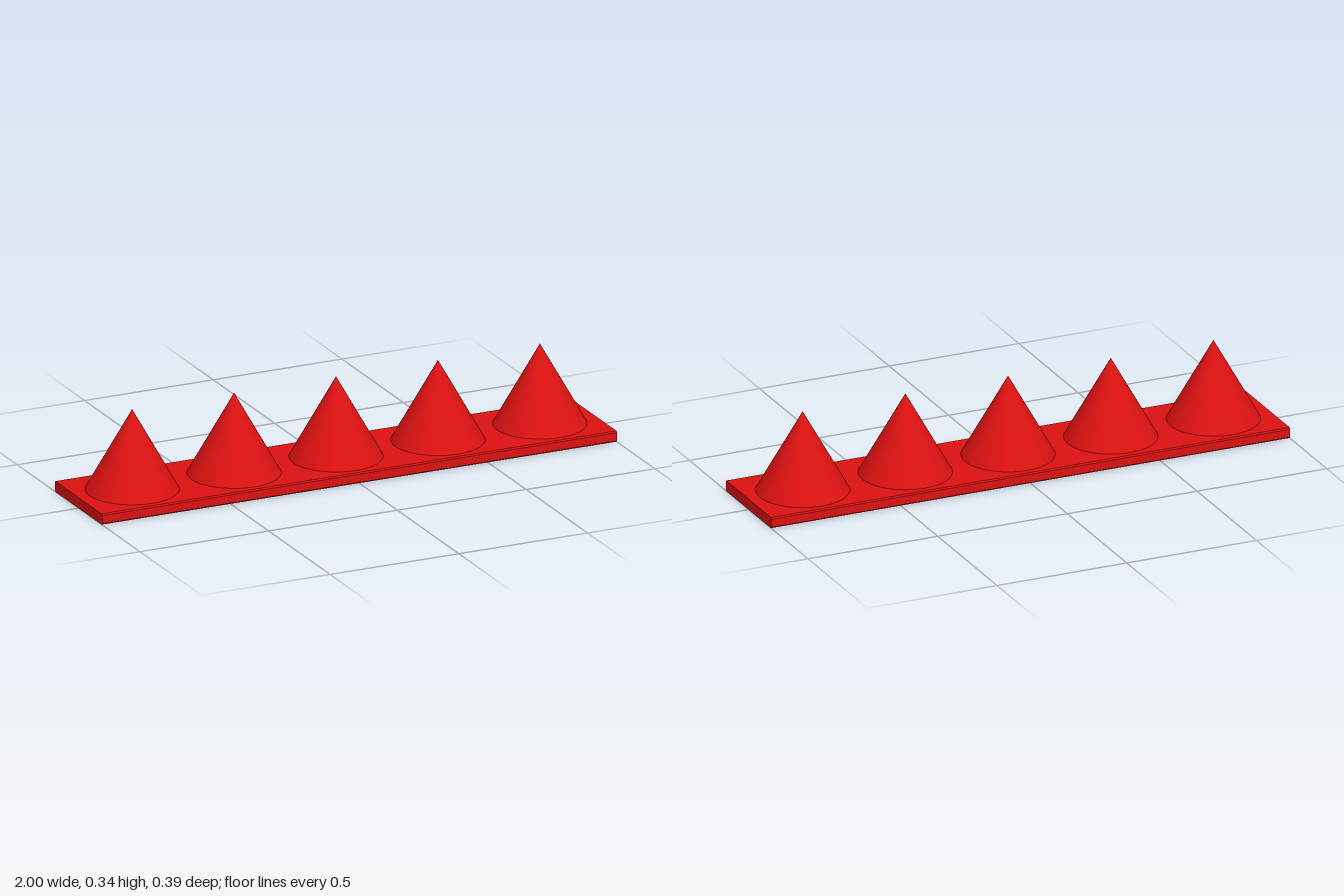
import * as THREE from 'three';

export function createModel() {
  const model = new THREE.Group();
  const red = new THREE.MeshStandardMaterial({ color: 0xdd1111 });

  // Long flat base: chamfered cross-section swept along x
  const w = 0.193, h = 0.04, c = 0.005;
  const profile = new THREE.Shape([
    [-w + c, 0], [w - c, 0], [w, c], [w, h - c],
    [w - c, h], [-w + c, h], [-w, h - c], [-w, c],
  ].map(([x, y]) => new THREE.Vector2(x, y)));
  const baseGeometry = new THREE.ExtrudeGeometry(profile, { depth: 2, bevelEnabled: false });
  baseGeometry.translate(0, 0, -1).rotateY(Math.PI / 2);
  const base = new THREE.Mesh(baseGeometry, red);
  base.name = 'basePlate';
  model.add(base);

  // Row of five identical cones standing on the base
  const coneHeight = 0.297;
  const coneGeometry = new THREE.ConeGeometry(0.166, coneHeight, 96);
  coneGeometry.translate(0, h + coneHeight / 2, 0);
  for (let i = -2; i <= 2; i++) {
    const cone = new THREE.Mesh(coneGeometry, red);
    cone.name = `cone${i + 3}`;
    cone.position.x = i * 0.396;
    model.add(cone);
  }

  return model;
}
